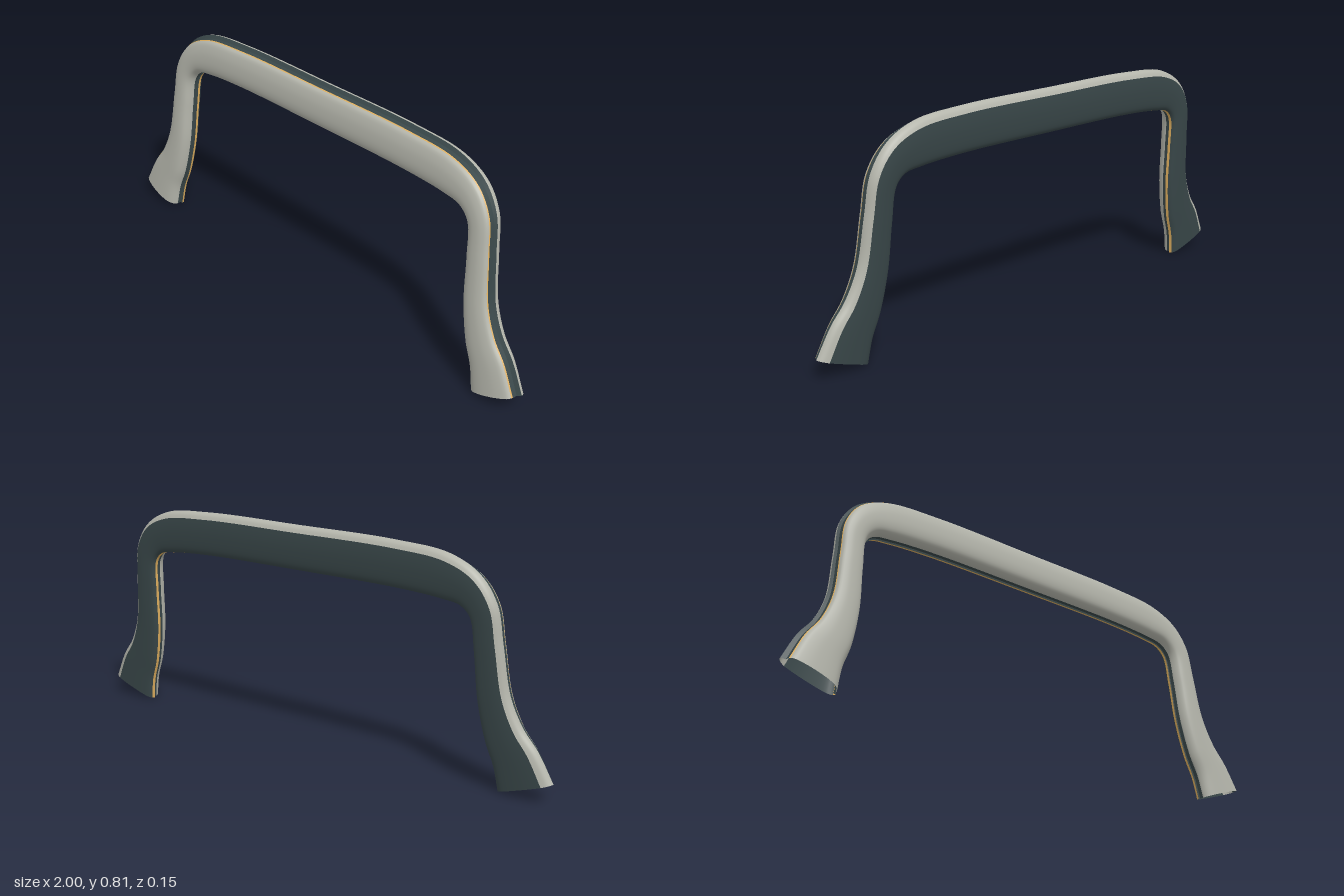
import * as THREE from 'three';

const paint = (name, color) => {
  const m = new THREE.MeshStandardMaterial({ color, side: THREE.DoubleSide });
  m.name = name;
  return m;
};

// Outer and inner edges of one half, from the foot up to the middle of the bar
const OUTER = [[1, .07], [.945, .17], [.89, .24], [.845, .34], [.82, .51], [.80, .64], [.74, .73], [.63, .786], [.42, .806], [0, .808]];
const INNER = [[.80, .001], [.785, .085], [.755, .17], [.728, .31], [.718, .47], [.705, .585], [.67, .62], [.60, .632], [.42, .643], [0, .645]];

// Mirror an edge to the other leg and smooth it
function edgeCurve(half) {
  const pts = half.map(([x, y]) => new THREE.Vector3(x, y, 0));
  const other = half.slice(0, -1).reverse().map(([x, y]) => new THREE.Vector3(-x, y, 0));
  return new THREE.CatmullRomCurve3([...pts, ...other]);
}

const STEPS = 144;
const HALF_DEPTH = 0.041;

// Sweep an open strip of the cross-section; u runs inner -1 to outer +1, w runs back -1 to front +1
function sweep(profile, outer, inner) {
  const pos = [], index = [], n = profile.length;
  for (let i = 0; i <= STEPS; i++) {
    const o = outer.getPoint(i / STEPS), k = inner.getPoint(i / STEPS);
    for (const [u, w] of profile) {
      const p = k.clone().lerp(o, (u + 1) / 2);
      pos.push(p.x, p.y, 0.033 - 0.088 * p.y + w * HALF_DEPTH); // leans back with height
    }
  }
  for (let i = 0; i < STEPS; i++) {
    for (let j = 0; j < n - 1; j++) {
      const a = i * n + j, b = a + n;
      index.push(a, b, a + 1, b, b + 1, a + 1);
    }
  }
  const g = new THREE.BufferGeometry();
  g.setAttribute('position', new THREE.Float32BufferAttribute(pos, 3));
  g.setIndex(index);
  g.computeVertexNormals();
  return g;
}

// Refine a rounded part of the cross-section
function rounded(points, count) {
  const c = new THREE.SplineCurve(points.map(([u, w]) => new THREE.Vector2(u, w)));
  return c.getPoints(count).map(p => [p.x, p.y]);
}

export function createModel() {
  const light = paint('light grey', 0xb5b6ac);
  const dark = paint('dark slate', 0x3a484a);
  const gold = paint('gold', 0xe0b060);
  const outer = edgeCurve(OUTER), inner = edgeCurve(INNER);

  // Strips in order around the cross-section
  const strips = [
    ['frontShell', light, rounded([[.81, .49], [.7, .76], [.35, .95], [0, 1], [-.35, .96], [-.65, .8], [-.83, .5], [-.91, .2], [-.92, .04]], 24)],
    ['innerSeam', dark, [[-.92, .04], [-.92, -.33]]],
    ['innerStep', dark, [[-.92, -.33], [-1, -.36]]],
    ['innerTrim', gold, [[-1, -.36], [-.97, -.62]]],
    ['backPanel', dark, rounded([[-.97, -.62], [-.82, -.86], [-.5, -.98], [0, -1.03], [.4, -1], [.7, -.93]], 16)],
    ['backLip', light, rounded([[.7, -.93], [.87, -.72], [.97, -.45], [1, -.2]], 10)],
    ['lipFront', dark, [[1, -.2], [.85, -.02]]],
    ['outerGroove', dark, [[.85, -.02], [.84, .4]]],
    ['outerTrim', gold, [[.84, .4], [.81, .49]]],
  ];

  const group = new THREE.Group();
  group.name = 'handle';
  for (const [name, material, profile] of strips) {
    const mesh = new THREE.Mesh(sweep(profile, outer, inner), material);
    mesh.name = name;
    group.add(mesh);
  }
  return group;
}
